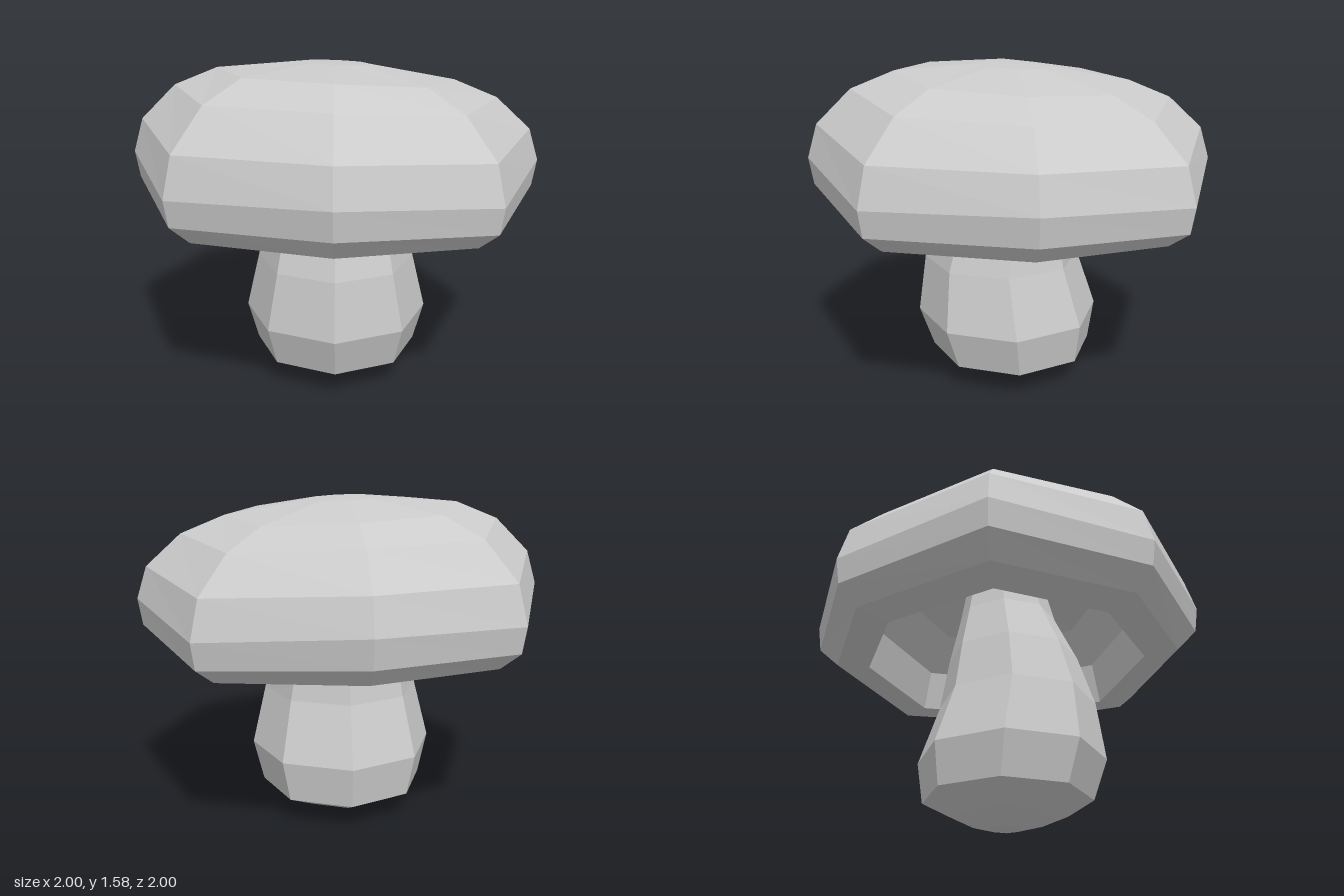
import * as THREE from 'three';

const SIDES = 8;

// Lofts eight-sided rings listed in profile order (a radius of 0 closes an end).
// Each ring: [radius, y, zCentre, tilt, cornerDrop]; the tilt raises back-to-front
// and right-to-left, and cornerDrop lowers the four diagonal corners.
function loft(name, rings, material) {
  const positions = [];
  const index = [];
  for (const [r, y, zc = 0, tilt = 0, drop = 0] of rings) {
    for (let j = 0; j < SIDES; j++) {
      const a = (j / SIDES) * Math.PI * 2;
      const x = r * Math.sin(a);
      const z = r * Math.cos(a);
      positions.push(x, y + tilt * (z - x) - (j % 2) * drop, z + zc);
    }
  }
  for (let i = 0; i < rings.length - 1; i++) {
    for (let j = 0; j < SIDES; j++) {
      const k = (j + 1) % SIDES;
      const a = i * SIDES + j, b = i * SIDES + k;
      const c = b + SIDES, d = a + SIDES;
      if (rings[i][0] > 0) index.push(a, b, d);
      if (rings[i + 1][0] > 0) index.push(b, c, d);
      // keep the closing fan of a tip complete
    }
  }
  const geometry = new THREE.BufferGeometry();
  geometry.setAttribute('position', new THREE.Float32BufferAttribute(positions, 3));
  geometry.setIndex(index);
  const flat = geometry.toNonIndexed();
  flat.computeVertexNormals();
  const mesh = new THREE.Mesh(flat, material);
  mesh.name = name;
  return mesh;
}

export function createModel() {
  const group = new THREE.Group();
  group.name = 'mushroom';
  const material = new THREE.MeshStandardMaterial({ color: 0xcccccc, flatShading: true });

  // Bulbous stem, bowed slightly forward, running up into the cap
  group.add(loft('stem', [
    [0, 0],
    [0.08, 0],
    [0.24, 0.05],
    [0.41, 0.13, 0.01],
    [0.46, 0.33, 0.03],
    [0.39, 0.62, 0.06],
    [0.33, 0.87, 0.04],
    [0.25, 1.1, 0.01],
    [0.2, 1.33, 0],
    [0, 1.33, 0],
  ], material));

  // Cap: hollow underside, lip, wavy rim, then the lopsided dome
  group.add(loft('cap', [
    [0, 1.32],
    [0.25, 1.31],
    [0.5, 1.24, 0, 0.02, 0.01],
    [0.66, 1.08, 0, 0.02, 0.02],
    [0.71, 0.87, 0, 0.01, 0.025],
    [0.88, 0.895, 0, 0.015, 0.035],
    [0.98, 0.99, 0, 0.02, 0.047],
    [1, 1.12, 0, 0.02, 0.055],
    [0.95, 1.28, 0, 0.025, 0.035],
    [0.78, 1.44, 0, 0.038, 0.02],
    [0.57, 1.525, 0, 0.05, 0.01],
    [0.17, 1.575, 0, 0.04, 0],
    [0, 1.578],
  ], material));

  return group;
}
